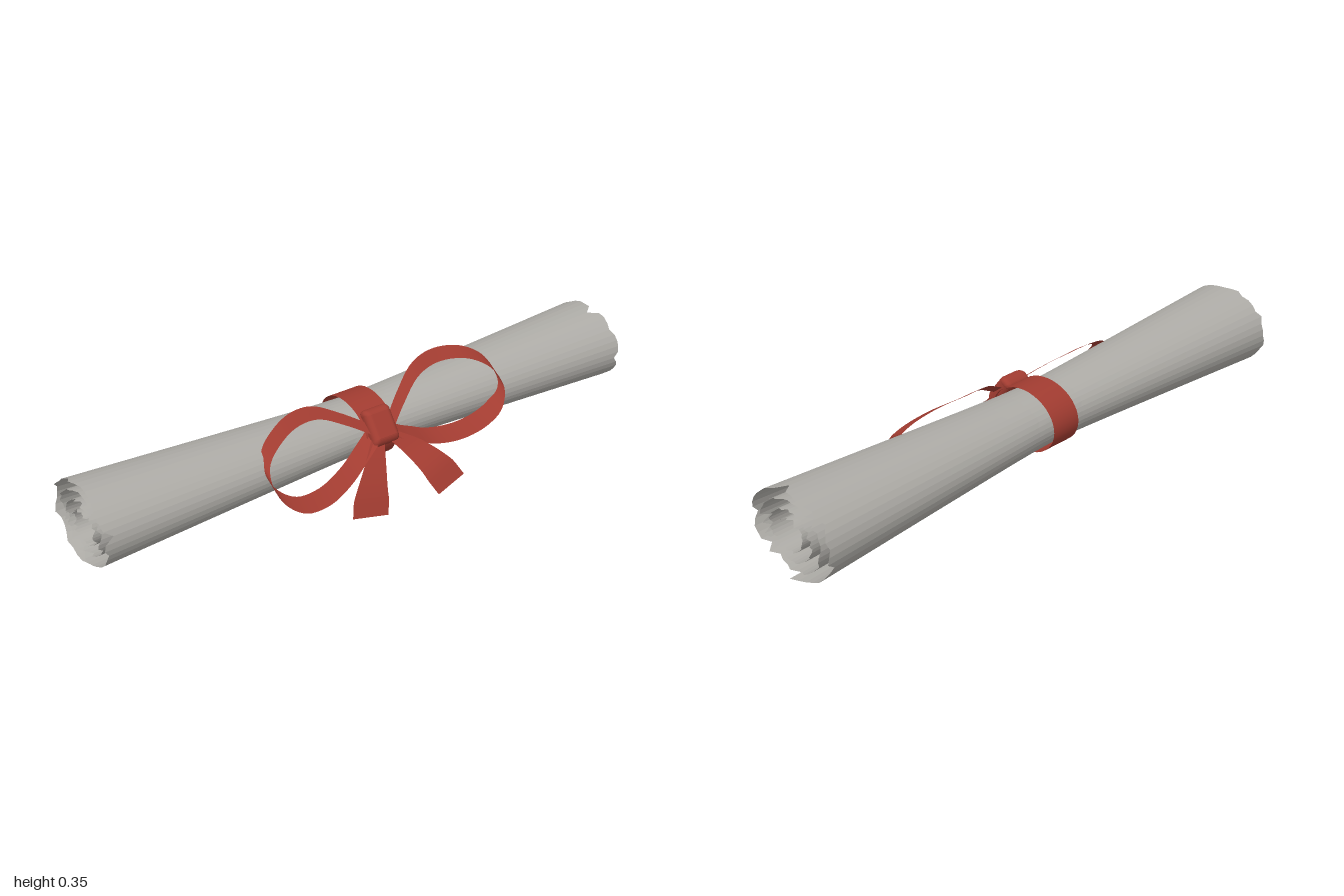
import * as THREE from 'three';
import { RoundedBoxGeometry } from 'three/addons/geometries/RoundedBoxGeometry.js';

const V = (x, y, z) => new THREE.Vector3(x, y, z);
const CY = 0.175, CZ = -0.07; // axis of the roll

// Open sheet from a function point(i, j) on an (nu + 1) x (nv + 1) grid
function sheet(nu, nv, point) {
  const pos = [], idx = [];
  for (let i = 0; i <= nu; i++) {
    for (let j = 0; j <= nv; j++) {
      pos.push(...point(i, j).toArray());
      if (i < nu && j < nv) {
        const a = i * (nv + 1) + j, b = a + nv + 1;
        idx.push(a, b, a + 1, b, b + 1, a + 1);
      }
    }
  }
  const g = new THREE.BufferGeometry();
  g.setAttribute('position', new THREE.Float32BufferAttribute(pos, 3));
  g.setIndex(idx);
  g.computeVertexNormals();
  return g;
}

// Ribbon: a centre curve widened along a vector that may change from start to end
function ribbon(points, w0, w1, segments = 48) {
  const curve = new THREE.CatmullRomCurve3(points.map(p => V(...p)));
  return sheet(segments, 2, (i, j) => {
    const t = i / segments;
    return curve.getPoint(t).addScaledVector(w0.clone().lerp(w1, Math.min(1, t * 1.3)), j / 2 - 0.5);
  });
}

export function createModel() {
  const group = new THREE.Group();
  const paper = new THREE.MeshStandardMaterial({ color: 0xaeaca7, side: THREE.DoubleSide, flatShading: true });
  const red = new THREE.MeshStandardMaterial({ color: 0xa23c31, side: THREE.DoubleSide });
  const add = (name, geometry, material) => {
    const m = new THREE.Mesh(geometry, material);
    m.name = name;
    group.add(m);
    return m;
  };

  // Seeded noise for the torn ends
  let seed = 11;
  const rand = () => (seed = (seed * 16807) % 2147483647) / 2147483647;

  // Rolled sheet: spiral section, narrow at the waist, flared to ragged ends
  const turns = 3.6, cols = 144, rows = 20;
  const flare = x => 0.635 + 0.365 * Math.sqrt(x * x + 0.01);
  const tear = () => (rand() < 0.12 ? 0.045 * rand() : 0.018 * rand());
  const ends = Array.from({ length: cols + 1 }, () => [-1 + tear(), 0.995 - tear()]);
  ends[8][0] = -1;
  add('rolledPaper', sheet(cols, rows, (i, j) => {
    const t = turns * i / cols, a = t * Math.PI * 2;
    const x = THREE.MathUtils.lerp(ends[i][0], ends[i][1], j / rows), s = flare(x);
    return V(x, CY - Math.cos(a) * (0.147 - 0.029 * t) * s, CZ - Math.sin(a) * (0.19 - 0.041 * t) * s);
  }), paper);

  // Band around the waist
  add('ribbonBand', sheet(40, 2, (i, j) => {
    const a = i / 40 * Math.PI * 2;
    return V(-0.005 + (j - 1) * 0.056, CY - 0.002 - Math.cos(a) * 0.106, CZ - 0.004 - Math.sin(a) * 0.133);
  }), red);

  // Bow loops, draped over the upper front of the roll
  const wide = V(0, -0.03, 0.062), narrow = V(0, -0.028, 0.035);
  const loopLeft = [[0.03, 0.225, 0.055], [0.1, 0.27, 0.01], [0.2, 0.325, -0.04], [0.3, 0.338, -0.057],
    [0.4, 0.325, -0.035], [0.465, 0.285, 0.005], [0.482, 0.23, 0.05], [0.45, 0.175, 0.08],
    [0.38, 0.143, 0.093], [0.28, 0.128, 0.092], [0.18, 0.138, 0.08], [0.1, 0.17, 0.068], [0.03, 0.205, 0.06]];
  const loopRight = [[-0.04, 0.225, 0.055], [-0.12, 0.27, 0.01], [-0.2, 0.302, -0.03], [-0.28, 0.303, -0.03],
    [-0.36, 0.28, -0.005], [-0.42, 0.245, 0.03], [-0.437, 0.2, 0.07], [-0.42, 0.15, 0.11],
    [-0.37, 0.118, 0.143], [-0.28, 0.112, 0.14], [-0.18, 0.135, 0.112], [-0.1, 0.17, 0.08], [-0.04, 0.205, 0.06]];
  add('bowLoopLeft', ribbon(loopLeft, narrow, wide, 64), red);
  add('bowLoopRight', ribbon(loopRight, narrow, wide, 64), red);

  // Hanging tails, widening to their cut ends
  add('bowTailLeft', ribbon([[0.02, 0.2, 0.07], [0.07, 0.16, 0.115], [0.11, 0.11, 0.19], [0.14, 0.05, 0.237]],
    V(0.05, 0, 0), V(0.12, 0.02, -0.025), 20), red);
  add('bowTailRight', ribbon([[-0.03, 0.2, 0.07], [-0.08, 0.135, 0.125], [-0.12, 0.075, 0.165], [-0.145, 0.012, 0.194]],
    V(0.05, 0, 0), V(0.12, -0.018, 0.022), 20), red);

  // Knot: rounded block pinched at the middle and bulging outward
  const knot = new RoundedBoxGeometry(0.11, 0.125, 0.05, 5, 0.022);
  const p = knot.attributes.position;
  for (let i = 0; i < p.count; i++) {
    const y = p.getY(i) / 0.0625;
    p.setX(i, p.getX(i) * (0.8 + 0.2 * y * y));
    p.setZ(i, p.getZ(i) + 0.012 * (1 - y * y));
  }
  knot.computeVertexNormals();
  const k = add('bowKnot', knot, red);
  k.position.set(-0.005, 0.222, 0.043);
  k.rotation.x = -0.65;

  return group;
}
